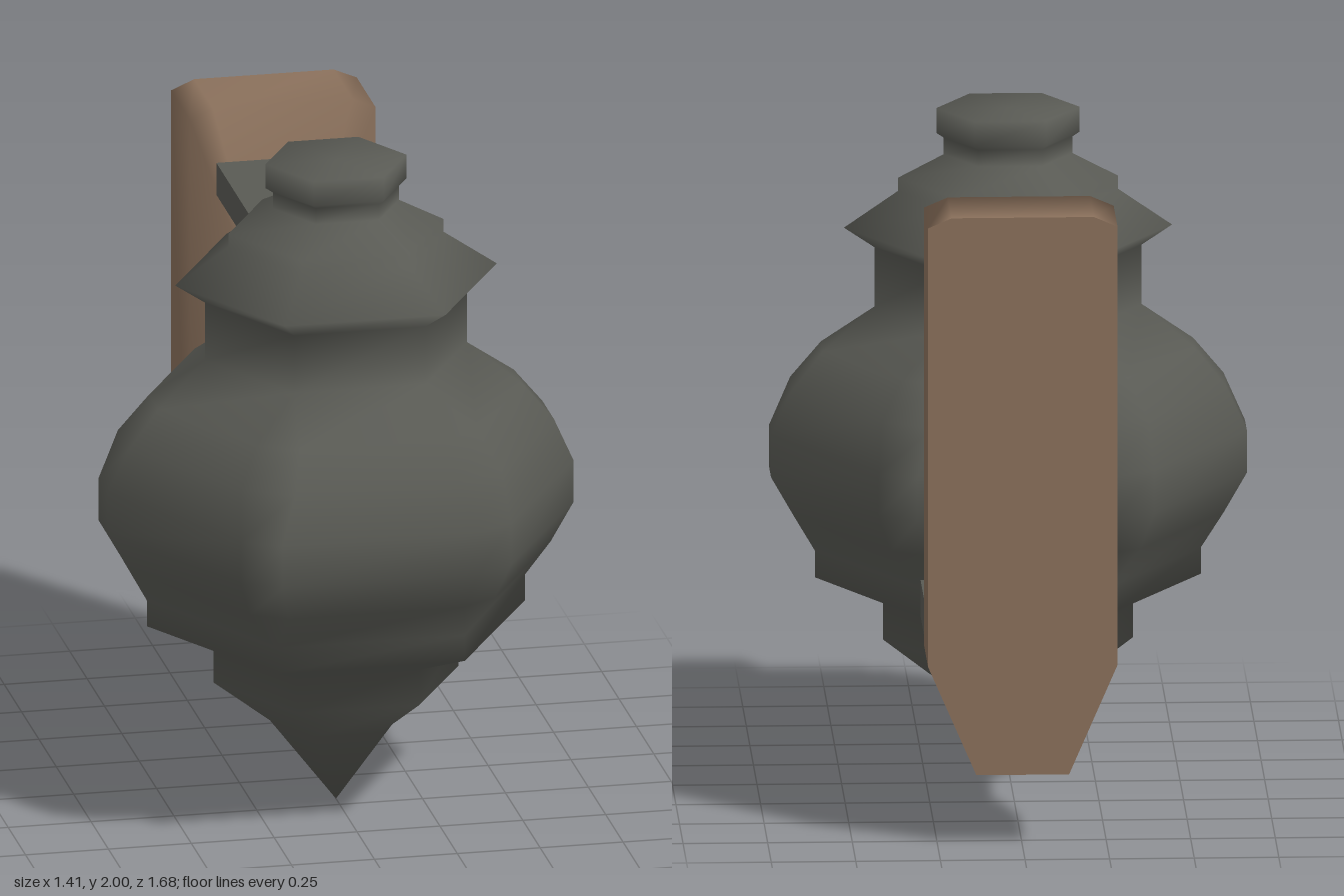
import * as THREE from 'three';
import { mergeVertices } from 'three/addons/utils/BufferGeometryUtils.js';

// Smooth skin through a stack of closed rings of [x, y, z] points
function loft(rings) {
  const n = rings[0].length;
  const index = [];
  for (let i = 0; i < rings.length - 1; i++) {
    for (let j = 0; j < n; j++) {
      const a = i * n + j, b = i * n + (j + 1) % n;
      index.push(a, a + n, b, b, a + n, b + n);
    }
  }
  let g = new THREE.BufferGeometry();
  g.setAttribute('position', new THREE.Float32BufferAttribute(rings.flat(2), 3));
  g.setIndex(index);
  g = mergeVertices(g, 1e-4);
  g.computeVertexNormals();
  return g;
}

// Horizontal hexagon with corners on the x axis, each corner cut to a flat of half-width w
function hexRing(y, r, w = 0) {
  const ring = [];
  for (let k = 0; k < 6; k++) {
    const c = Math.cos(k * Math.PI / 3), s = Math.sin(k * Math.PI / 3);
    for (const t of [-w, w]) ring.push([r * c - t * s, y, r * s + t * c]);
  }
  return ring;
}

export function createModel() {
  const iron = new THREE.MeshStandardMaterial({ name: 'darkIron', color: 0x595a54 });
  const wood = new THREE.MeshStandardMaterial({ name: 'brownWood', color: 0x8b715c });
  const model = new THREE.Group();
  model.name = 'wallLantern';

  const add = (name, geometry, material, x = 0, y = 0, z = 0) => {
    const mesh = new THREE.Mesh(geometry, material);
    mesh.name = name;
    mesh.position.set(x, y, z);
    model.add(mesh);
    return mesh;
  };

  // Lantern body: height, corner radius, corner cut
  const profile = [
    [0, 0], [0.26, 0.2], [0.39, 0.37], [0.5, 0.37], [0.58, 0.57], [0.66, 0.57],
    [0.78, 0.635, 0.06], [0.9, 0.703, 0.065], [1.03, 0.703, 0.065],
    [1.17, 0.64, 0.085], [1.28, 0.55, 0.068], [1.4, 0.395], [1.58, 0.395],
    [1.64, 0.485], [1.75, 0.325], [1.79, 0.325], [1.86, 0.19], [1.91, 0.19],
    [1.925, 0.212], [2, 0.212], [2, 0],
  ];
  add('lanternBody', loft(profile.map((p) => hexRing(...p))), iron, 0, 0, 0.197);

  // Wall plate: straight sides, clipped top corners, tapered foot
  const half = [[0.21, 1.91], [0.28, 1.88], [0.28, 0.55], [0.137, 0.22]];
  const outline = [...half, ...half.map(([x, y]) => [-x, y]).reverse()];
  const backZ = -0.84, frontZ = -0.57;
  add('wallPlate', loft([
    outline.map(([x, y]) => [x, y, backZ]),
    outline.map(([x, y]) => [x, y, frontZ]),
    outline.map(() => [0, 1.1, frontZ]),
  ]), wood);

  // Flat back of the plate
  const shape = new THREE.Shape(outline.map(([x, y]) => new THREE.Vector2(x, y)));
  add('wallPlateBack', new THREE.ShapeGeometry(shape), wood, 0, 0, backZ).rotation.y = Math.PI;

  // Brackets joining the plate to the body
  add('upperBracket', new THREE.BoxGeometry(0.4, 0.1, 0.59), iron, 0, 1.69, -0.285);
  add('lowerBracket', new THREE.BoxGeometry(0.56, 0.11, 0.59), iron, 0, 0.635, -0.285);

  return model;
}
